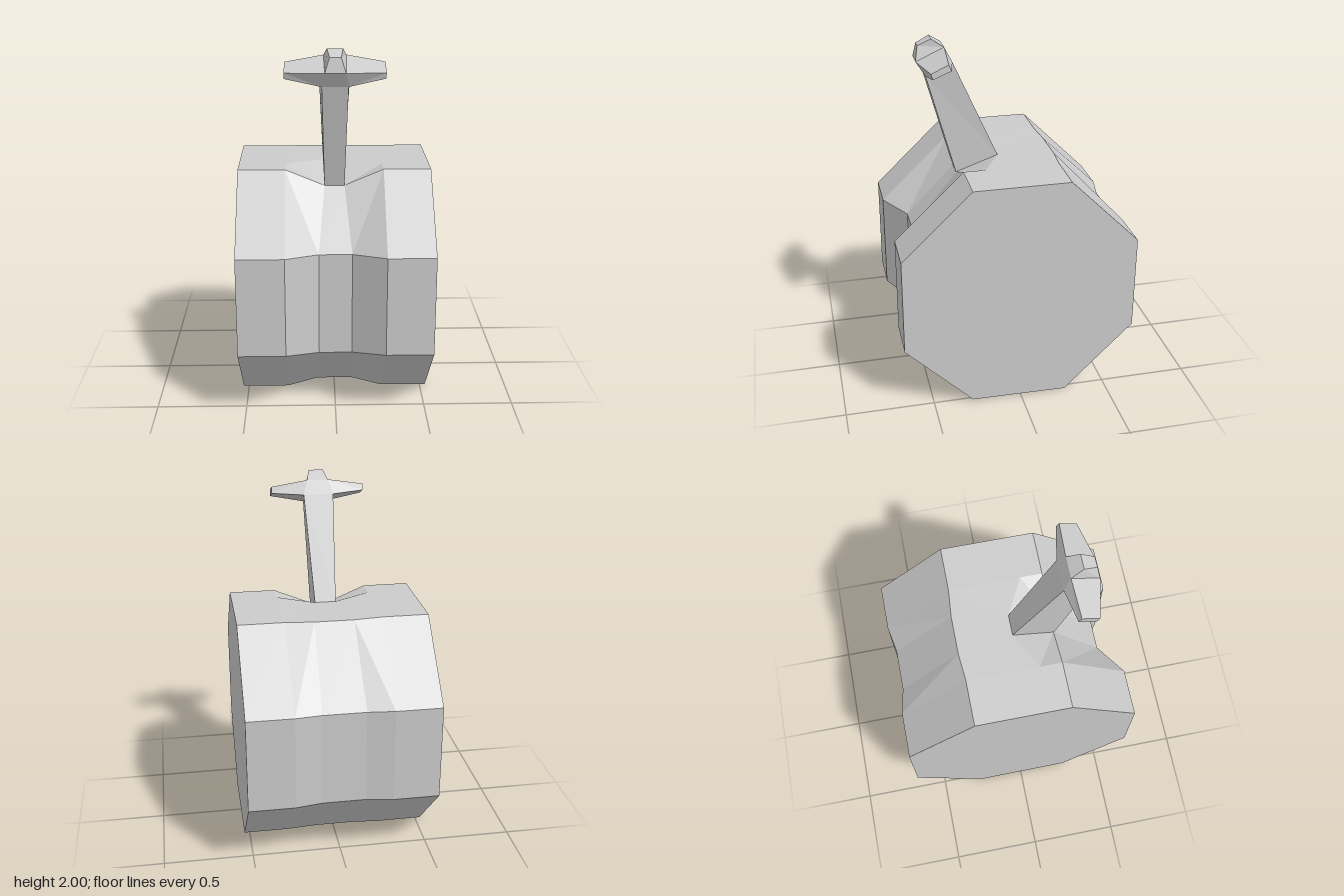
import * as THREE from 'three';

const material = new THREE.MeshStandardMaterial({ color: 0xcccccc, flatShading: true });

// Skin a list of equal-length loops ([x, y, z] corners) and cap both ends.
// Loops run counter-clockwise about the direction of the loft.
function loft(name, loops) {
  const n = loops[0].length;
  const positions = [];
  const tri = (a, b, c) => positions.push(...a, ...b, ...c);
  for (let s = 0; s < loops.length - 1; s++) {
    const a = loops[s], b = loops[s + 1];
    for (let i = 0; i < n; i++) {
      const j = (i + 1) % n;
      // flip the diagonal on the mirrored half so both sides match
      if (s < loops.length / 2 - 1) {
        tri(a[i], a[j], b[j]);
        tri(a[i], b[j], b[i]);
      } else {
        tri(a[i], a[j], b[i]);
        tri(a[j], b[j], b[i]);
      }
    }
  }
  const first = loops[0], last = loops[loops.length - 1];
  for (let i = 1; i < n - 1; i++) {
    tri(first[0], first[i + 1], first[i]);
    tri(last[0], last[i], last[i + 1]);
  }
  const geometry = new THREE.BufferGeometry();
  geometry.setAttribute('position', new THREE.Float32BufferAttribute(positions, 3));
  geometry.computeVertexNormals();
  const mesh = new THREE.Mesh(geometry, material);
  mesh.name = name;
  return mesh;
}

// Mirror half sections of [halfWidth, y, z] corners, given from the outside in.
function mirroredLoft(name, halves) {
  const side = (half, sign) => half.map(([x, y, z]) => [sign * x, y, z]);
  const right = halves.map((h) => side(h, -1));
  const left = halves.map((h) => side(h, 1)).reverse();
  return loft(name, [...right, ...left]);
}

// Four corners, front pair then back pair, for an upright tapering block.
function block([frontW, frontY, frontZ], [backW, backY, backZ]) {
  return [
    [-frontW, frontY, frontZ], [frontW, frontY, frontZ],
    [backW, backY, backZ], [-backW, backY, backZ],
  ];
}

export function createModel() {
  const group = new THREE.Group();
  group.name = 'drumWithHandle';

  // Octagonal drum; the top has one extra corner where the stalk sits
  const rim = [
    [1.32, -0.27], [1.32, 0.14], [1.32, 0.265], [0.945, 0.655], [0.39, 0.658],
    [0.012, 0.28], [0.003, -0.262], [0.39, -0.655], [0.932, -0.658],
  ];
  const ring = (x) => rim.map(([y, z]) => [x, y, z]);
  // Pinched waist, with the strongest dent at the front
  const waist = [
    [0.11, 1.318, -0.283], [0.06, 1.315, 0.03], [0.055, 1.23, 0.265],
    [0.09, 0.925, 0.535], [0.09, 0.35, 0.535], [0.1, 0.035, 0.23],
    [0.11, 0.012, -0.262], [0.12, 0.39, -0.63], [0.12, 0.925, -0.63],
  ];
  group.add(mirroredLoft('body', [ring(0.53), ring(0.27), waist]));

  // Stalk leaning forwards out of the dent
  group.add(loft('stalk', [
    block([0.055, 1.23, 0.268], [0.06, 1.315, 0.03]),
    block([0.07, 1.81, 0.425], [0.085, 1.88, 0.28]),
  ]));

  // Crossbar tapering to its tips
  const tip = [
    [0.265, 1.922, 0.33], [0.265, 1.88, 0.425],
    [0.265, 1.848, 0.415], [0.265, 1.888, 0.315],
  ];
  const middle = [
    [0.06, 1.957, 0.318], [0.055, 1.885, 0.473],
    [0.075, 1.808, 0.425], [0.085, 1.88, 0.28],
  ];
  group.add(mirroredLoft('crossbar', [tip, middle]));

  // Small wedge on top of the crossbar
  group.add(loft('crest', [
    block([0.055, 1.885, 0.473], [0.06, 1.957, 0.318]),
    block([0.03, 1.965, 0.458], [0.042, 2.0, 0.385]),
  ]));

  return group;
}
